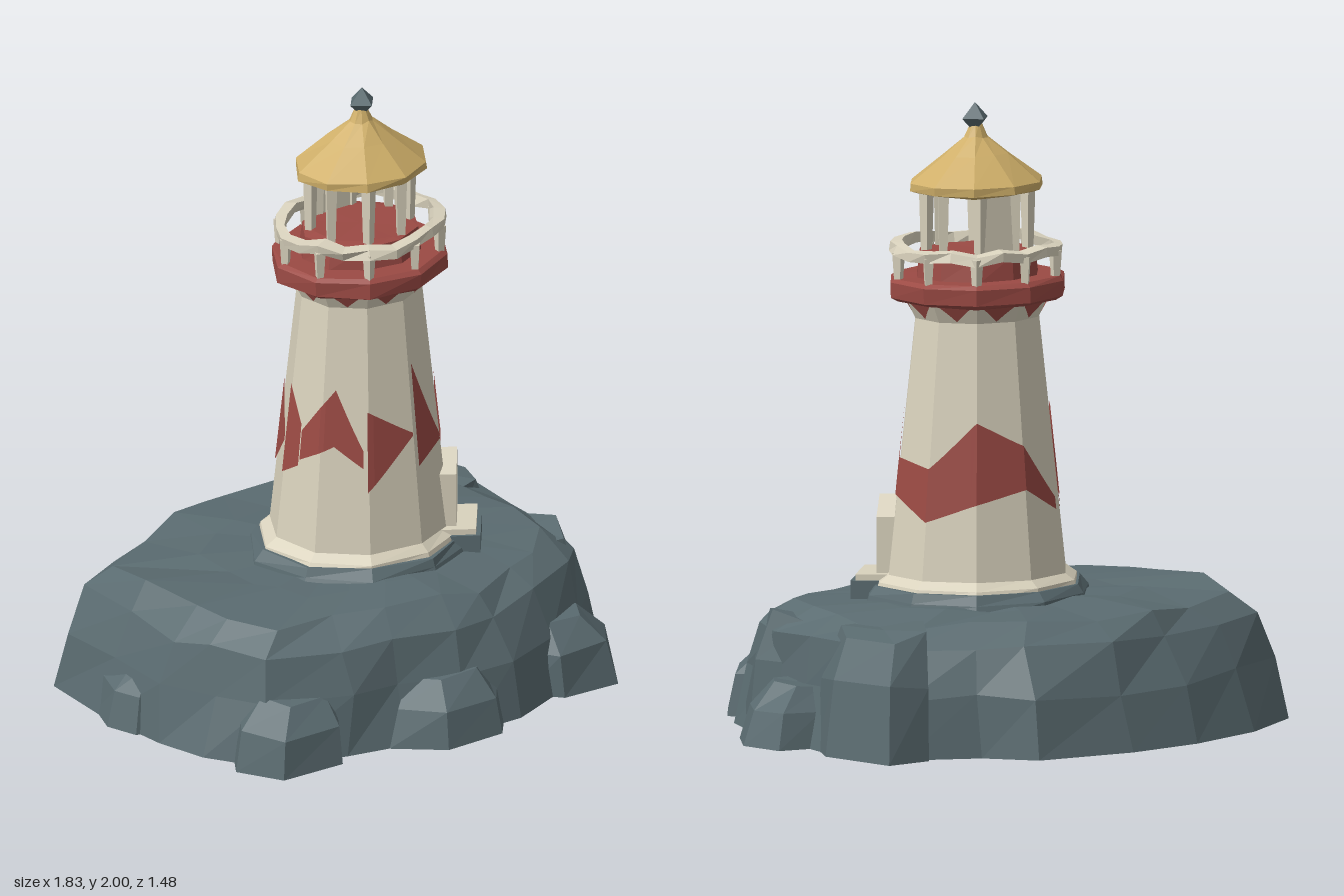
import * as THREE from 'three';

const mat = (name, color, extra = {}) => {
  const m = new THREE.MeshStandardMaterial({ color, flatShading: true, ...extra });
  m.name = name;
  return m;
};

// Repeatable wobble in -1..1
const wobble = (n) => {
  const s = Math.sin(n * 127.1 + 11.7) * 43758.5453;
  return 2 * (s - Math.floor(s)) - 1;
};
const RAD = Math.PI / 180;
// Angles run from +z (front) towards +x
const polar = (deg, r, y) => [r * Math.sin(deg * RAD), y, r * Math.cos(deg * RAD)];

function toGeometry(pos) {
  const g = new THREE.BufferGeometry();
  g.setAttribute('position', new THREE.Float32BufferAttribute(pos, 3));
  g.computeVertexNormals();
  return g;
}
// Quads between two rings of equal point count
function bridge(pos, a, b) {
  a.forEach((p, j) => {
    const k = (j + 1) % a.length;
    pos.push(...p, ...a[k], ...b[k], ...p, ...b[k], ...b[j]);
  });
}
// Solid from stacked rings, closed at both ends
function loft(rings) {
  const pos = [], n = rings[0].length;
  const centre = (ring) => [0, 1, 2].map((k) => ring.reduce((s, p) => s + p[k], 0) / n);
  const first = rings[0], last = rings[rings.length - 1];
  const bottom = centre(first), top = centre(last);
  for (let j = 0; j < n; j++) {
    const k = (j + 1) % n;
    pos.push(...bottom, ...first[k], ...first[j], ...top, ...last[j], ...last[k]);
  }
  for (let i = 0; i + 1 < rings.length; i++) bridge(pos, rings[i], rings[i + 1]);
  return toGeometry(pos);
}
// Ten-sided turned solid from [radius, y] pairs, with slight hand-cut unevenness
const turned = (profile, jitter = 0) => loft(profile.map(([r, y], i) =>
  Array.from({ length: 10 }, (_, j) =>
    polar(10 + 36 * j, r * (1 + jitter * wobble(i * 17 + j)), y + jitter * 0.2 * wobble(i * 31 + j + 5)))));

// Radius of the ten-sided wall at any angle and height
const wallRadius = (deg, y, [r0, y0], [r1, y1]) => {
  const r = r0 + (r1 - r0) * (y - y0) / (y1 - y0);
  const a = ((((deg - 10) % 36) + 36) % 36) - 18;
  return r * Math.cos(18 * RAD) / Math.cos(a * RAD) + 0.005;
};
// Painted strip over a wall; stops are [angle, low y, high y]
function paint(stops, lower, upper) {
  const pos = [], steps = 8;
  const at = (d, y) => polar(d, wallRadius(d, y, lower, upper), y);
  for (let i = 0; i + 1 < stops.length; i++) {
    for (let s = 0; s < steps; s++) {
      const [p, q] = [s / steps, (s + 1) / steps].map((t) =>
        stops[i].map((v, k) => v + (stops[i + 1][k] - v) * t));
      const a = at(p[0], p[1]), b = at(q[0], q[1]), c = at(q[0], q[2]), d = at(p[0], p[2]);
      pos.push(...a, ...b, ...c, ...a, ...c, ...d);
    }
  }
  return toGeometry(pos);
}

export function createModel() {
  const rock = mat('slate rock', 0x5a6b70);
  const cream = mat('cream plaster', 0xd9d2bd);
  const red = mat('brick red', 0x9b4a44, { side: THREE.DoubleSide });
  const gold = mat('ochre roof', 0xcfaf69);

  const model = new THREE.Group();
  model.name = 'lighthouse';
  const add = (parent, name, geometry, material) => {
    const m = new THREE.Mesh(geometry, material);
    m.name = name;
    parent.add(m);
    return m;
  };

  // Island: one outline drawn in and raised ring by ring, with a raised rim on its -x side
  const outline = [
    [0, 0.66], [0.2, 0.66], [0.42, 0.57], [0.62, 0.47], [0.73, 0.35], [0.77, 0.12], [0.76, -0.1],
    [0.75, -0.35], [0.6, -0.55], [0.36, -0.63], [0.22, -0.755], [-0.12, -0.755], [-0.38, -0.7],
    [-0.65, -0.58], [-0.87, -0.4], [-0.88, -0.12], [-0.85, 0.15], [-0.8, 0.32], [-0.68, 0.5],
    [-0.42, 0.58], [-0.22, 0.62]];
  const levels = [[0, 1, 1, 0], [0.19, 0.95, 0.94, 0.025], [0.34, 0.91, 0.85, 0.025],
    [0.4, 0.79, 0.74, 0.03], [0.42, 0.5, 0.5, 0.02]];
  add(model, 'island', loft(levels.map(([y, sx, sz, w], i) => outline.map(([x, z], j) => [
    x * sx + w * wobble(i * 40 + j),
    y + w * 0.6 * wobble(i * 70 + j) + (i === 3 && x < -0.7 ? 0.025 : 0),
    z * sz + w * wobble(i * 90 + j)]))), rock);

  // Boulders leaning on the island: x, z, half width, half depth, height, top size
  const boulders = [
    [0.5, 0.49, 0.18, 0.16, 0.23, 0.6], [-0.03, 0.59, 0.24, 0.16, 0.2, 0.6],
    [-0.58, 0.48, 0.21, 0.17, 0.21, 0.6], [0.78, -0.06, 0.13, 0.17, 0.19, 0.6],
    [0.61, -0.39, 0.18, 0.25, 0.39, 0.78], [-0.82, -0.06, 0.09, 0.14, 0.2, 0.6],
    [0.64, 0.17, 0.13, 0.19, 0.37, 0.75]];
  boulders.forEach(([x, z, rx, rz, h, topSize], b) => {
    const rings = [[1, 0, 1], [0.9, 0.6, 0.98], [topSize, 1, 0.92]].map(([s, t, lean], i) =>
      Array.from({ length: 6 }, (_, j) => {
        const [px, , pz] = polar(j * 60 + 30 + 9 * wobble(b * 6 + j), s * (1 + 0.07 * wobble(b * 30 + i * 9 + j)), 0);
        return [x * lean + px * rx, t * h * (1 + 0.06 * wobble(b * 50 + i * 8 + j)), z * lean + pz * rz];
      }));
    add(model, 'boulder', loft(rings), rock);
  });

  // Everything above the island, slightly flattened front to back
  const tower = new THREE.Group();
  tower.name = 'tower';
  tower.position.x = 0.04;
  tower.scale.z = 0.9;
  model.add(tower);

  add(tower, 'foundation', turned([[0.38, 0.38], [0.37, 0.43], [0.35, 0.46]], 0.03), rock);
  add(tower, 'plinth', turned([[0.342, 0.44], [0.335, 0.47], [0.3, 0.495]], 0.015), cream);
  const foot = [0.303, 0.48], neck = [0.21, 1.315], flare = [0.248, 1.39];
  add(tower, 'wall', turned([foot, neck, flare]), cream);

  // Jagged painted band around the wall
  const bands = [
    [[-82, 0.78, 0.88], [-52, 0.85, 1.04], [-30, 0.78, 0.84]],
    [[-27, 0.7, 0.97], [9, 0.86, 0.87]],
    [[13, 0.75, 1.1], [44, 0.79, 0.81]],
    [[46, 0.82, 1.02], [60, 0.74, 0.94], [82, 0.75, 0.87], [118, 0.68, 0.85], [154, 0.74, 1.0],
      [190, 0.78, 0.92], [222, 0.7, 0.74]],
    [[226, 0.69, 0.98], [258, 0.82, 0.84]],
    [[262, 0.72, 1.02], [277, 0.76, 0.9]]];
  bands.forEach((stops) => add(tower, 'paintedBand', paint(stops, foot, neck), red));
  // Red points hanging below the gallery
  for (let k = 0; k < 10; k++) {
    const d = 10 + 36 * k;
    add(tower, 'galleryPoint', paint([[d, 1.385, 1.389], [d + 18, 1.32, 1.389], [d + 36, 1.385, 1.389]],
      neck, flare), red);
  }

  // Gallery deck, drum and railing
  add(tower, 'galleryDeck', turned([[0.27, 1.37], [0.295, 1.385], [0.297, 1.435], [0.28, 1.447]], 0.015), red);
  add(tower, 'lanternDrum', turned([[0.205, 1.44], [0.195, 1.525], [0.16, 1.53]], 0.02), red);
  const railRing = (r, y, seed) => Array.from({ length: 20 }, (_, j) =>
    polar(18 * j + 10, r + 0.012 * wobble(j + seed), y + 0.013 * wobble(j * 3 + 1)));
  const rails = [railRing(0.24, 1.515, 0), railRing(0.283, 1.515, 30), railRing(0.283, 1.545, 60),
    railRing(0.24, 1.55, 90)];
  const railPos = [];
  rails.forEach((ring, i) => bridge(railPos, ring, rails[(i + 1) % 4]));
  add(tower, 'railing', toGeometry(railPos), cream);
  const posts = (name, count, r, y0, y1, thick, offset) => {
    for (let k = 0; k < count; k++) {
      const d = offset + k * 360 / count;
      const p = add(tower, name, new THREE.CylinderGeometry(thick, thick * 0.7, y1 - y0, 4), cream);
      p.position.set(...polar(d, r, (y0 + y1) / 2));
      p.rotation.y = d * RAD;
    }
  };
  posts('railingPost', 10, 0.268, 1.44, 1.53, 0.022, 10);

  // Lantern room: open posts with one closed panel at the back
  posts('lanternPost', 8, 0.165, 1.5, 1.735, 0.025, 22.5);
  const panel = add(tower, 'lanternPanel', new THREE.BoxGeometry(0.14, 0.225, 0.02), cream);
  panel.position.set(...polar(180, 0.152, 1.62));

  // Roof and finial
  const roof = add(tower, 'roof', turned([[0.2, 1.715], [0.225, 1.725], [0.225, 1.75], [0.11, 1.835],
    [0.04, 1.89], [0.02, 1.93]], 0.02), gold);
  roof.position.x = 0.005;
  roof.scale.z = 0.95;
  const finial = add(tower, 'finial', new THREE.OctahedronGeometry(0.05), rock);
  finial.position.set(0.008, 1.95, 0);
  finial.rotation.y = 0.15;

  // Doorway with a peaked hood, on its own step
  const door = new THREE.Group();
  door.name = 'doorway';
  door.rotation.y = 56 * RAD;
  tower.add(door);
  const gable = (w, base, eave, peak) => [[-w, base], [w, base], [w, eave], [0, peak], [-w, eave]]
    .map(([x, y]) => new THREE.Vector2(x, y));
  const shape = new THREE.Shape(gable(0.075, 0.47, 0.67, 0.735));
  shape.holes.push(new THREE.Path(gable(0.045, 0.485, 0.645, 0.685)));
  add(door, 'doorFrame', new THREE.ExtrudeGeometry(shape, { depth: 0.12, bevelEnabled: false }), cream)
    .position.z = 0.2;
  add(door, 'doorPanel', new THREE.BoxGeometry(0.1, 0.2, 0.05), cream).position.set(0, 0.57, 0.275);
  add(door, 'doorSill', new THREE.BoxGeometry(0.21, 0.03, 0.18), cream).position.set(0, 0.474, 0.295);
  add(door, 'doorStep', new THREE.BoxGeometry(0.23, 0.09, 0.2), rock).position.set(0, 0.425, 0.3);

  return model;
}
